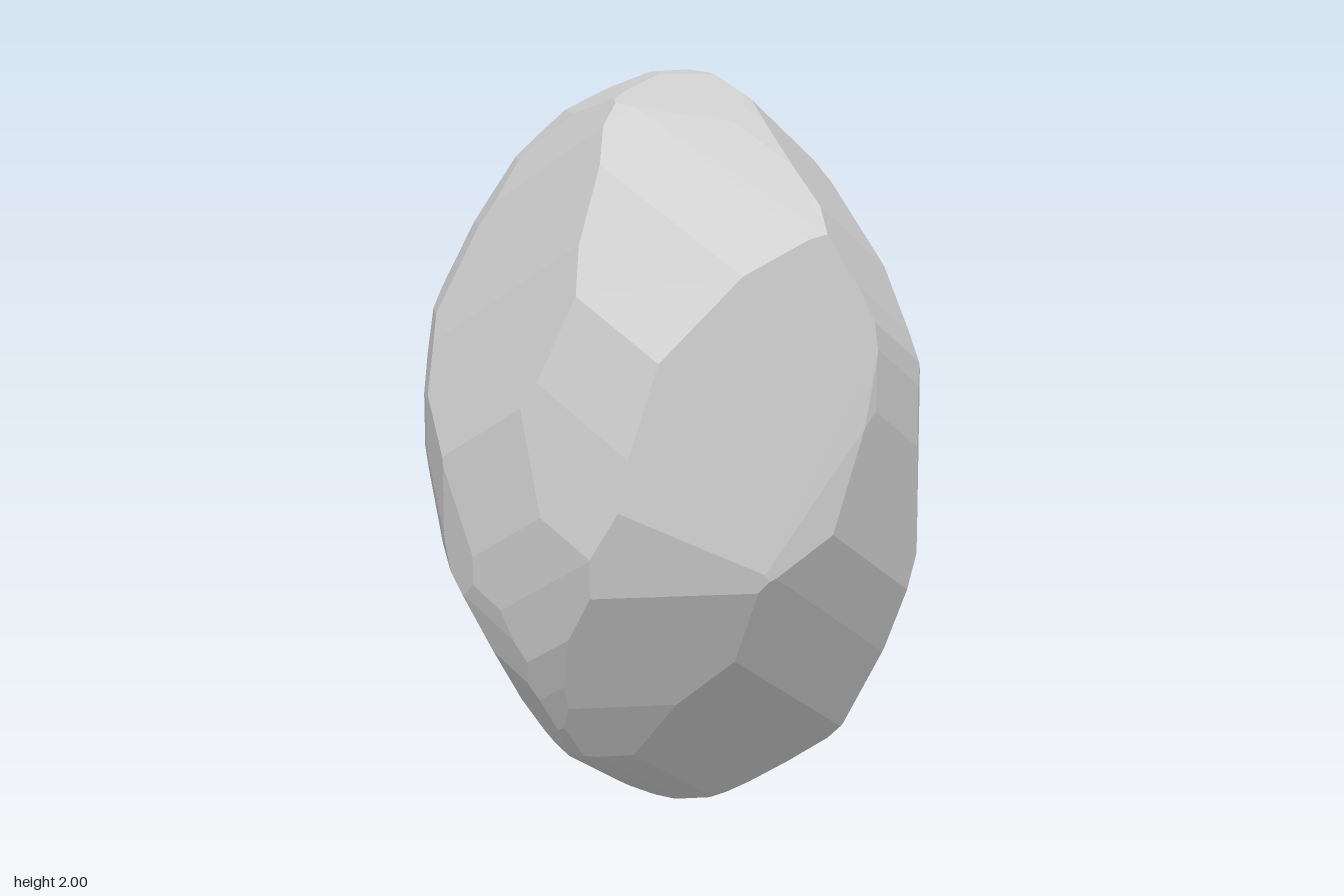
import * as THREE from 'three';
import { ConvexGeometry } from 'three/addons/geometries/ConvexGeometry.js';

const V = (x, y, z) => new THREE.Vector3(x, y, z);
const CENTRE = V(0, 1, 0);
const CUTS = 30; // flat cuts around each outline
const d = Math.SQRT1_2, c = Math.sqrt(3) / 2; // diagonals tilted by 30 degrees

// Planes touching a smooth outline that lies in the plane of right and up,
// each stored as normal / distance from the centre
function cutsAround(right, up, points) {
  const curve = new THREE.CatmullRomCurve3(points.map(([u, v]) => V(u, v, 0)), true, 'centripetal');
  const samples = curve.getPoints(200);
  return Array.from({ length: CUTS }, (_, i) => {
    const a = ((i + 0.3 * Math.sin(i * 2.3)) / CUTS) * Math.PI * 2;
    const dir = V(Math.cos(a), Math.sin(a), 0);
    const dist = Math.max(...samples.map((p) => p.dot(dir)));
    return V().addScaledVector(right, dir.x / dist).addScaledVector(up, dir.y / dist);
  });
}

// Corners of the body between the planes: each triangle in the hull of the polar points is one
function cornersOf(polar) {
  const pos = new ConvexGeometry(polar).getAttribute('position');
  const corners = [];
  for (let i = 0; i < pos.count; i += 3) {
    const [p, q, r] = [0, 1, 2].map((k) => V().fromBufferAttribute(pos, i + k));
    const n = q.sub(p).cross(r.sub(p));
    if (n.lengthSq() > 1e-14) corners.push(n.divideScalar(n.dot(p)).add(CENTRE));
  }
  return corners;
}

export function createModel() {
  const group = new THREE.Group();

  // Width
  const front = cutsAround(V(1, 0, 0), V(0, 1, 0), [
    [0.06, 1], [0.28, 0.93], [0.5, 0.63], [0.62, 0.2], [0.645, 0.06], [0.575, -0.47], [0.38, -0.88],
    [0.08, -1], [-0.3, -0.79], [-0.575, -0.3], [-0.65, 0.05], [-0.585, 0.4], [-0.29, 0.84]]);
  // Depth
  const side = cutsAround(V(0, 0, -1), V(0, 1, 0), [
    [0.17, 1], [0.34, 0.95], [0.5, 0.66], [0.63, 0], [0.595, -0.4], [0.42, -0.75],
    [0, -1], [-0.28, -0.81], [-0.55, -0.36], [-0.635, -0.03], [-0.575, 0.48], [-0.3, 0.81]]);
  // Plan
  const plan = cutsAround(V(1, 0, 0), V(0, 0, -1), [
    [-0.05, 0.64], [0.25, 0.55], [0.57, 0.25], [0.645, -0.08], [0.58, -0.42], [0.34, -0.555],
    [-0.26, -0.63], [-0.55, -0.35], [-0.65, 0], [-0.6, 0.25], [-0.25, 0.57]]);
  // Diagonals, leaning back and forward
  const leanBack = cutsAround(V(d, 0, -d), V(-d / 2, c, -d / 2), [
    [0.1, 0.985], [0.28, 0.89], [0.53, 0.22], [0.605, -0.17], [0.555, -0.515], [0.33, -0.84],
    [0.1, -0.92], [-0.31, -0.765], [-0.57, -0.5], [-0.635, -0.21], [-0.55, 0.22], [-0.15, 0.84]]);
  const leanForward = cutsAround(V(-d, 0, d), V(d / 2, c, d / 2), [
    [-0.05, 0.9], [0.275, 0.69], [0.54, 0.29], [0.637, -0.207], [0.6, -0.435], [0.26, -0.8],
    [-0.15, -0.875], [-0.52, -0.605], [-0.605, -0.09], [-0.49, 0.62], [-0.31, 0.84]]);
  const leanSide = cutsAround(V(-d, 0, -d), V(d / 2, c, -d / 2), [
    [0.07, 0.965], [0.35, 0.84], [0.52, 0.545], [0.615, 0.095], [0.55, -0.285], [0.165, -0.81],
    [-0.02, -0.88], [-0.445, -0.505], [-0.605, -0.26], [-0.69, 0.175], [-0.665, 0.35], [-0.245, 0.81]]);
  // Large flat faces at the back and the front
  const faces = [
    V(0.57, 0.21, -0.79).divideScalar(0.54),
    V(0.12, 0.1, 0.98).divideScalar(0.59),
  ];

  const polar = [...front, ...side, ...plan, ...leanBack, ...leanForward, ...leanSide, ...faces];
  const rock = new THREE.Mesh(
    new ConvexGeometry(cornersOf(polar)),
    new THREE.MeshStandardMaterial({ color: 0xcccccc, flatShading: true }));
  rock.name = 'rock';
  group.add(rock);
  return group;
}
